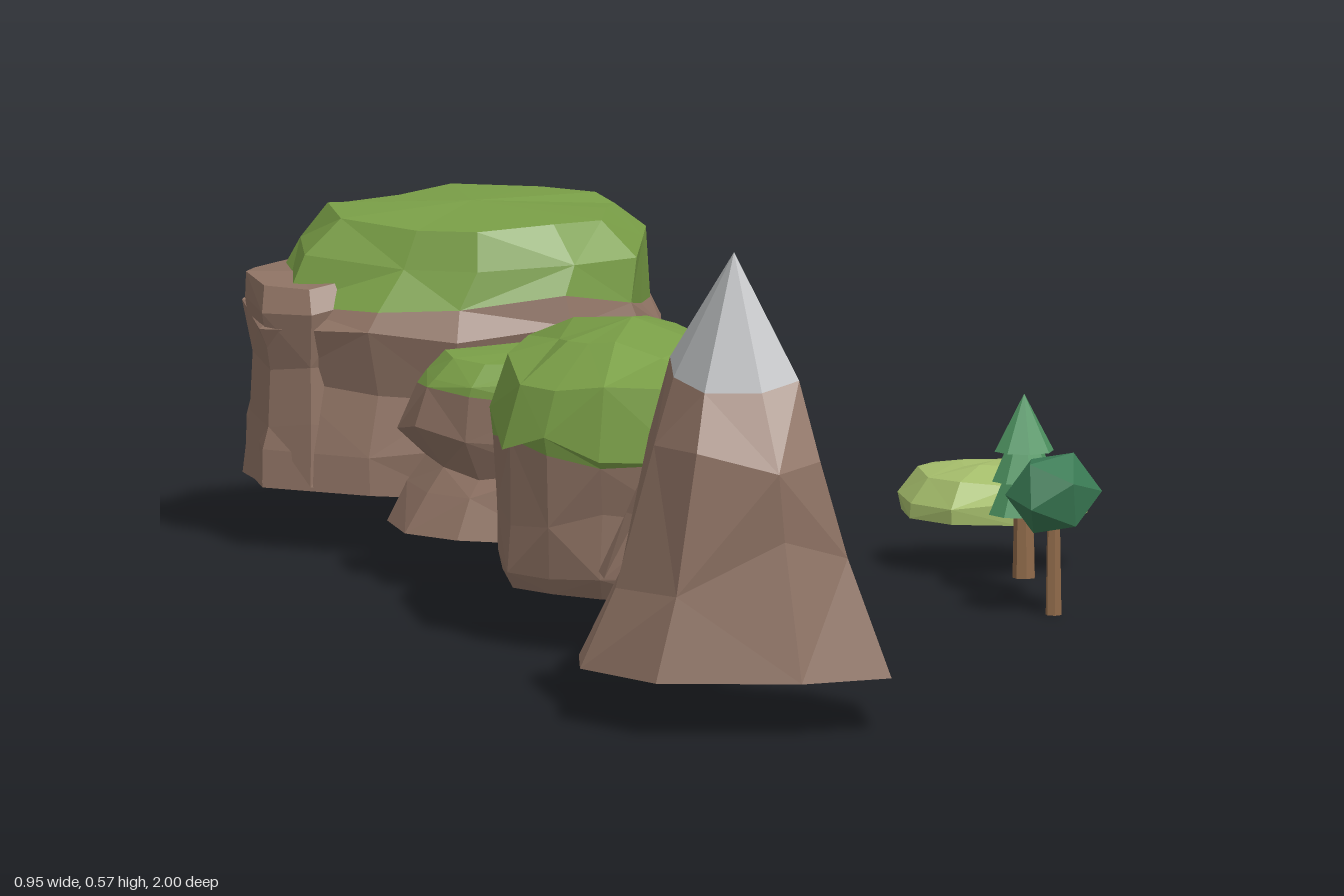
import * as THREE from 'three';

const mat = (name, color, side = THREE.FrontSide) =>
  Object.assign(new THREE.MeshStandardMaterial({ color, flatShading: true, side }), { name });

// Small seeded random in -1..1
function seeded(seed) {
  let s = seed * 7919 + 17;
  return () => {
    s = (s * 16807) % 2147483647;
    return (s / 2147483647) * 2 - 1;
  };
}

function mesh(name, geometry, material, x = 0, y = 0, z = 0) {
  const g = geometry.index ? geometry.toNonIndexed() : geometry;
  g.computeVertexNormals();
  const m = new THREE.Mesh(g, material);
  m.name = name;
  m.position.set(x, y, z);
  return m;
}

// Stacks scaled copies of an outline (given as [x, z]) into a faceted solid.
// Each level is [y, scaleX, scaleZ, roughness in y, offsetX, offsetZ];
// bands from index `split` upward go into the upper geometry.
function loft(outline, [cx, cz], levels, split, seed, rough, closed) {
  const rnd = seeded(seed), n = outline.length;
  const rings = levels.map(([y, sx, sz, dy = 0, ox = 0, oz = 0], k) => outline.map(([x, z]) => {
    const j = 1 + (k ? rough * rnd() : 0);
    return [cx + ox + (x - cx) * sx * j, y + dy * rnd(), cz + oz + (z - cz) * sz * j];
  }));
  const lower = [], upper = [];
  for (let k = 0; k < rings.length - 1; k++) {
    const out = k < split ? lower : upper;
    for (let i = 0; i < n; i++) {
      const j = (i + 1) % n;
      const a = rings[k][i], b = rings[k][j], c = rings[k + 1][i], d = rings[k + 1][j];
      if (levels[k + 1][1] === 0) out.push(a, c, b);
      else if ((i + k) % 2) out.push(a, c, b, b, c, d);
      else out.push(a, c, d, a, d, b);
    }
  }
  // Flat underside
  const mid = [cx, levels[0][0], cz];
  if (closed) for (let i = 0; i < n; i++) lower.push(mid, rings[0][i], rings[0][(i + 1) % n]);
  return [lower, upper].map((p) => new THREE.BufferGeometry()
    .setAttribute('position', new THREE.Float32BufferAttribute(p.flat(), 3)));
}

export function createModel() {
  const root = new THREE.Group();
  root.name = 'landscapePieces';
  const rock = mat('rock brown', 0x8f7364, THREE.DoubleSide);
  const snow = mat('snow grey', 0xabadaf);
  const grass = mat('grass green', 0x7a9f47);
  const lime = mat('bush lime', 0xa5bd6b, THREE.DoubleSide);
  const pine = mat('pine green', 0x4f9562);
  const leaf = mat('leaf green', 0x3a7a54);
  const bark = mat('bark brown', 0x8f6a4a);

  function landform(name, topName, topMat, ...args) {
    const g = new THREE.Group();
    g.name = name;
    const [low, high] = loft(...args);
    g.add(mesh(name + 'Rock', low, rock), mesh(name + topName, high, topMat));
    root.add(g);
    return g;
  }

  // Tall peak at the front, open below
  landform('tallMountain', 'Snow', snow,
    [[0, .79], [-.02, .97], [-.135, 1], [-.305, .96], [-.37, .82], [-.35, .71], [-.235, .64], [-.04, .68]],
    [-.19, .83],
    [[.065, 1, 1], [.2, .72, .88, .04], [.34, .52, .74, .03, 0, .02], [.43, .4, .46, .025, 0, .02], [.568, 0, 0, 0, 0, .028]],
    3, 3, 0.07, false);

  // Small peak behind it, open below
  landform('smallMountain', 'Snow', snow,
    [[-.04, .53], [-.05, .61], [-.13, .63], [-.24, .61], [-.29, .56], [-.285, .5], [-.2, .44], [-.06, .47]],
    [-.17, .54],
    [[.134, 1, 1], [.2, .72, .82, .015, 0, .01], [.26, .5, .66, .015, 0, .018], [.308, .37, .48, .015, 0, .018], [.39, 0, 0, 0, 0, .016]],
    3, 8, 0.07, false);

  // Long domed plateau
  landform('longPlateau', 'Grass', grass,
    [[.005, .16], [-.035, .265], [-.15, .375], [-.25, .32], [-.305, .26], [-.345, .19], [-.325, .015],
      [-.26, -.14], [-.17, -.115], [-.09, -.105], [-.04, 0], [-.015, .08]],
    [-.17, .12],
    [[.07, .9, .9], [.09, .94, .94, .01], [.16, .93, .95, .015], [.245, .95, .96, .02],
      [.252, 1, .99, .015], [.315, .87, .9, .015], [.36, .5, .5, .01], [.384, 0, 0]],
    3, 5, 0.03, true);

  // Small waisted plateau, open below
  landform('smallPlateau', 'Grass', grass,
    [[-.045, -.34], [-.09, -.24], [-.205, -.17], [-.315, -.23], [-.365, -.3], [-.365, -.41], [-.29, -.45],
      [-.205, -.485], [-.12, -.435], [-.065, -.4]],
    [-.21, -.325],
    [[.067, 1, 1], [.11, .82, .84, .012], [.145, .72, .76, .01], [.19, .9, .87, .012], [.235, .81, .76, .012, 0, .008],
      [.25, .77, .72, .008, 0, .012], [.277, .6, .56, .003, 0, .014], [.282, 0, 0, 0, 0, .014]],
    4, 11, 0.06, false);

  // Large plateau at the back, grass set inside its rocky rim
  const big = landform('largePlateau', 'Grass', grass,
    [[.045, -.765], [.02, -.67], [-.02, -.535], [-.12, -.508], [-.26, -.508], [-.36, -.555], [-.475, -.65],
      [-.465, -.81], [-.41, -.9], [-.315, -.925], [-.2, -1], [-.05, -.925], [.03, -.83]],
    [-.21, -.75],
    [[.075, .98, .99], [.13, .98, .96, .015], [.2, .92, .93, .015], [.265, .99, .97, .015], [.295, .9, .94, .025],
      [.352, .83, .9, .012, .02], [.393, .66, .74, .007, .015, .02], [.403, 0, 0, 0, .01, .02]],
    4, 6, 0.035, true);

  // Bare shoulder on the side of the large plateau
  const [shoulder] = loft(
    [[-.35, -.72], [-.36, -.62], [-.42, -.6], [-.47, -.65], [-.475, -.75], [-.45, -.83], [-.38, -.85]],
    [-.41, -.72],
    [[.08, 1, .95], [.15, .85, .9, .01], [.22, .8, .85, .01], [.29, .98, .98, .01], [.322, .95, .85, .008], [.325, 0, 0]],
    9, 4, 0.035, true);
  big.add(mesh('largePlateauShoulder', shoulder, rock));

  // Low bush, open below
  const [bush] = loft(
    [[.475, -.33], [.45, -.265], [.37, -.23], [.29, -.255], [.25, -.32], [.255, -.4], [.285, -.45], [.38, -.455], [.455, -.42]],
    [.362, -.343],
    [[.065, .97, .97], [.09, .99, .99, .008], [.113, .78, .78, .006], [.126, .35, .35, .003], [.129, 0, 0]],
    9, 2, 0.035, false);
  root.add(mesh('lowBush', bush, lime));

  // Pine tree with three tiers
  const pineTree = new THREE.Group();
  pineTree.name = 'pineTree';
  pineTree.position.set(.349, 0, -.097);
  pineTree.add(mesh('pineTrunk', new THREE.CylinderGeometry(.012, .014, .09, 7), bark, 0, .068, 0));
  [[.1, .043, .06, .018], [.14, .039, .055, .015], [.176, .036, .069, 0]].forEach(([y, r, h, top], i) =>
    pineTree.add(mesh('pineTier' + (i + 1), new THREE.CylinderGeometry(top, r, h, 8), pine, 0, y + h / 2, 0)));
  root.add(pineTree);

  // Round tree
  const roundTree = new THREE.Group();
  roundTree.name = 'roundTree';
  roundTree.position.set(.355, 0, .056);
  const crown = mesh('roundCrown', new THREE.IcosahedronGeometry(.058, 0), leaf, 0, .147, 0);
  crown.rotation.set(.2, .35, .1);
  crown.scale.y = .9;
  roundTree.add(mesh('roundTrunk', new THREE.CylinderGeometry(.008, .01, .12, 6), bark, 0, .06, 0), crown);
  root.add(roundTree);

  return root;
}
